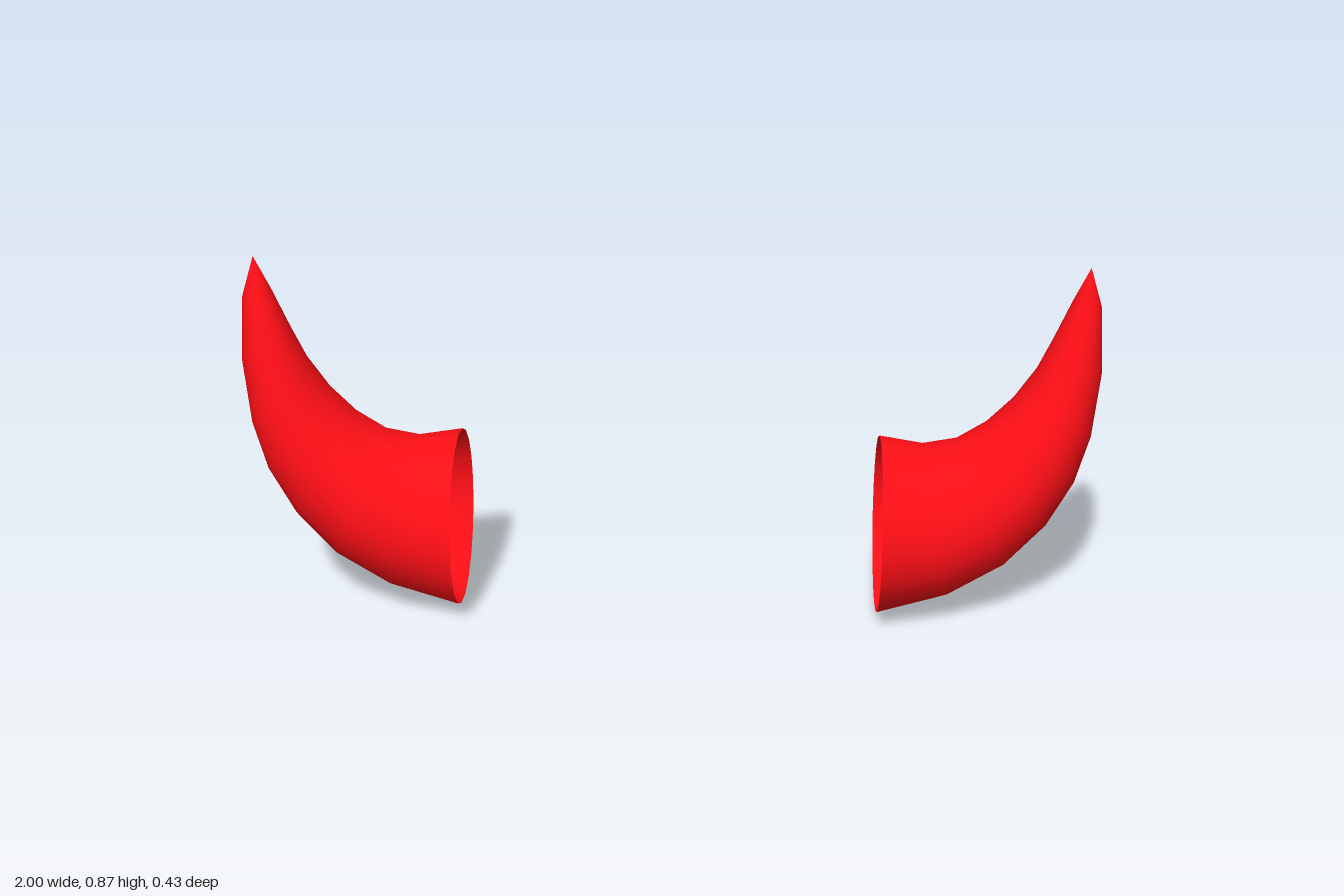
import * as THREE from 'three';

const SIDES = 20;

// Each ring of the horn: outer edge x, y and inner edge x, y of its circular cross-section
const RINGS = [
  [0.5, 0.0, 0.5, 0.425],
  [0.67, 0.048, 0.6, 0.41],
  [0.803, 0.128, 0.678, 0.427],
  [0.896, 0.232, 0.745, 0.473],
  [0.955, 0.343, 0.803, 0.536],
  [0.986, 0.46, 0.852, 0.613],
  [1.0, 0.618, 0.884, 0.69],
  [0.988, 0.772, 0.922, 0.787],
  [0.957, 0.867, 0.957, 0.867],
];

// Curved, tapering tube, open at the base and closed to a point at the tip
function hornGeometry() {
  const positions = [];
  const indices = [];
  const last = RINGS.length - 1;

  RINGS.forEach(([ox, oy, ix, iy], i) => {
    const cx = (ox + ix) / 2, cy = (oy + iy) / 2;
    const dx = (ox - ix) / 2, dy = (oy - iy) / 2;
    const radius = Math.hypot(dx, dy);
    const count = i === last ? 1 : SIDES;
    for (let j = 0; j < count; j++) {
      const a = (j / SIDES) * Math.PI * 2;
      positions.push(cx + dx * Math.cos(a), cy + dy * Math.cos(a), radius * Math.sin(a));
    }
  });

  for (let i = 0; i < last; i++) {
    for (let j = 0; j < SIDES; j++) {
      const k = (j + 1) % SIDES;
      const a = i * SIDES + j, b = i * SIDES + k;
      if (i === last - 1) {
        indices.push(a, last * SIDES, b);
      } else {
        const c = a + SIDES, d = b + SIDES;
        indices.push(a, c, b, b, c, d);
      }
    }
  }

  const geometry = new THREE.BufferGeometry();
  geometry.setAttribute('position', new THREE.Float32BufferAttribute(positions, 3));
  geometry.setIndex(indices);
  geometry.computeVertexNormals();
  return geometry;
}

export function createModel() {
  const group = new THREE.Group();
  group.name = 'horns';
  const material = new THREE.MeshStandardMaterial({ color: 0xff0f16, side: THREE.DoubleSide });
  const geometry = hornGeometry();

  // The horn is symmetric front to back, so a half turn gives its mirror image
  const leftHorn = new THREE.Mesh(geometry, material);
  leftHorn.name = 'leftHorn';
  const rightHorn = new THREE.Mesh(geometry, material);
  rightHorn.name = 'rightHorn';
  rightHorn.rotation.y = Math.PI;

  group.add(leftHorn, rightHorn);
  return group;
}
